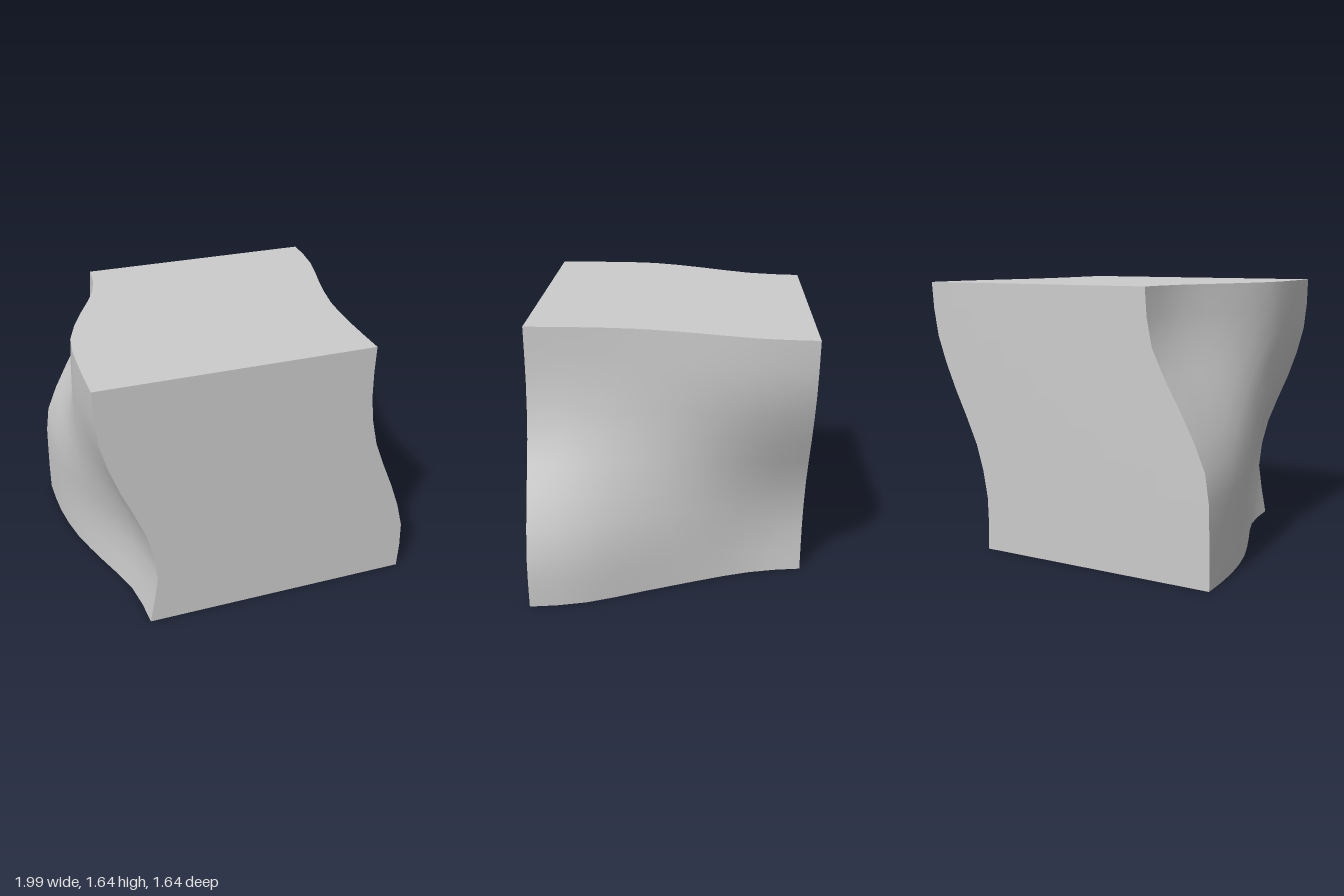
import * as THREE from 'three';

const SIZE = 1.64; // height and depth of the block
const HALF = SIZE / 2;

// Smooth curve through evenly spaced x offsets, sampled with t in 0..1
function edge(...xs) {
  const curve = new THREE.SplineCurve(xs.map((x, i) => new THREE.Vector2(i, x)));
  return (t) => curve.getPoint(t).y;
}

// Surface blended between four border curves, with an optional swell in the middle.
// v runs bottom to top, w runs back to front.
function wavySide({ front, back, bottom, top, swell }) {
  const mix = THREE.MathUtils.lerp;
  return (v, w) => {
    const sv = THREE.MathUtils.smoothstep(v, 0, 1);
    const sw = THREE.MathUtils.smoothstep(w, 0, 1);
    const corners = mix(mix(back(0), front(0), sw), mix(back(1), front(1), sw), sv);
    return mix(back(v), front(v), sw) + mix(bottom(w), top(w), sv) - corners
      + swell * Math.sin(Math.PI * v) * Math.sin(Math.PI * w);
  };
}

// Side at +x
const leftSide = wavySide({
  front: edge(0.985, 0.985, 0.88, 0.745, 0.685, 0.685),
  back: edge(0.5, 0.5, 0.575, 0.725, 0.85, 0.89),
  bottom: edge(0.5, 0.555, 0.67, 0.8, 0.93, 0.985),
  top: edge(0.89, 0.86, 0.775, 0.705, 0.685, 0.685),
  swell: 0,
});

// Side at -x
const rightSide = wavySide({
  front: edge(-0.69, -0.635, -0.695, -0.83, -0.93, -0.95),
  back: edge(-1.0, -0.995, -0.965, -0.81, -0.64, -0.595),
  bottom: edge(-1.0, -0.99, -0.935, -0.83, -0.72, -0.69),
  top: edge(-0.595, -0.65, -0.8, -0.925, -0.95, -0.95),
  swell: -0.035,
});

export function createModel() {
  const group = new THREE.Group();
  group.name = 'wavyBlock';

  // Block with four flat faces; each vertex slides in x between the two wavy sides
  const geometry = new THREE.BoxGeometry(1, SIZE, SIZE, 10, 10, 10);
  const pos = geometry.attributes.position;
  for (let i = 0; i < pos.count; i++) {
    const v = THREE.MathUtils.clamp(pos.getY(i) / SIZE + 0.5, 0, 1);
    const w = THREE.MathUtils.clamp(pos.getZ(i) / SIZE + 0.5, 0, 1);
    pos.setX(i, THREE.MathUtils.lerp(rightSide(v, w), leftSide(v, w), pos.getX(i) + 0.5));
  }
  geometry.translate(0, HALF, 0);
  geometry.computeVertexNormals(); // box faces share no vertices, so edges stay sharp

  const block = new THREE.Mesh(geometry, new THREE.MeshStandardMaterial({ color: 0xcccccc }));
  block.name = 'block';
  group.add(block);
  return group;
}
